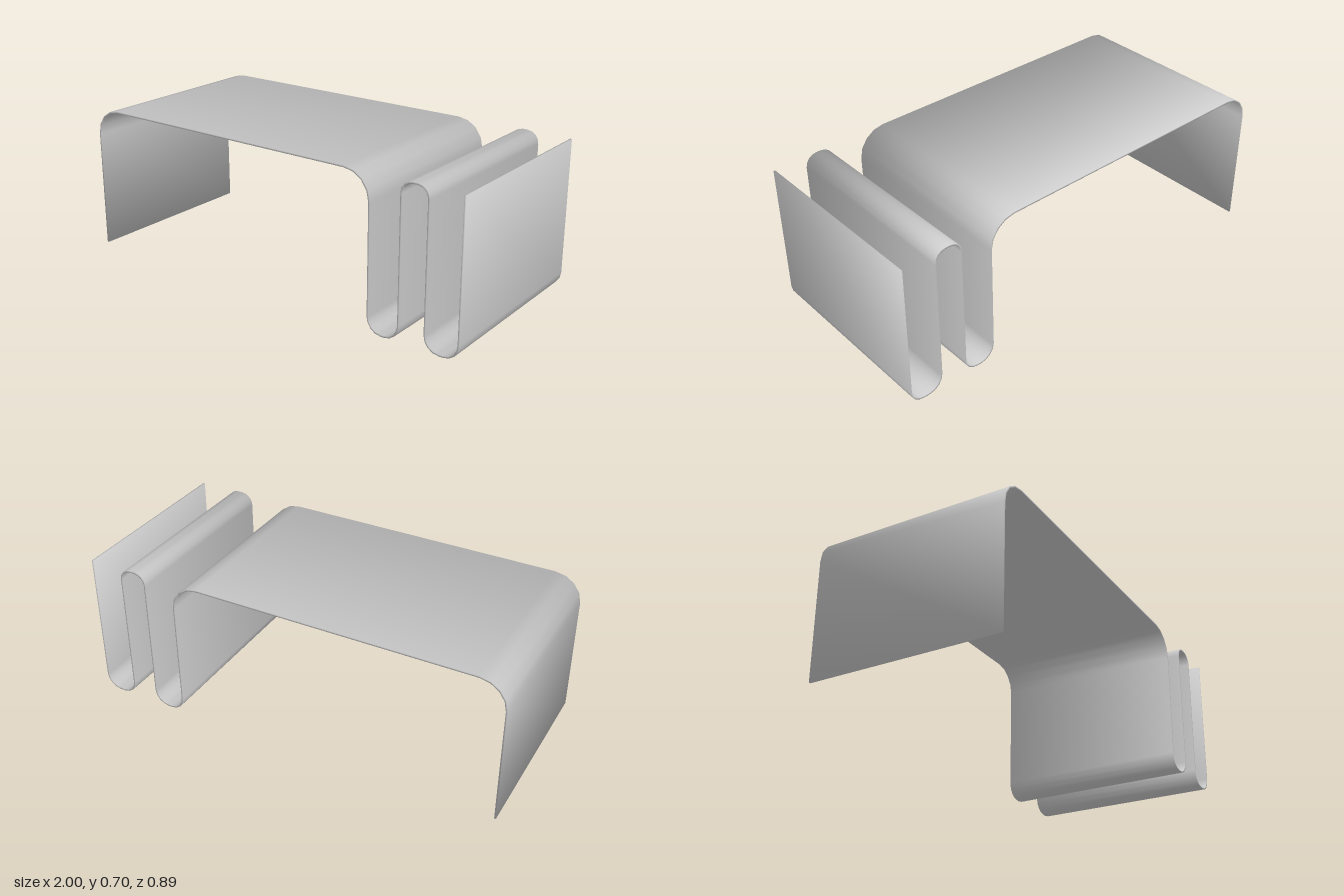
import * as THREE from 'three';

const HALF_DEPTH = 0.447;
const HALF_THICKNESS = 0.004;
const ARC_STEPS = 4;

// Bends of the sheet's centre line: x, y, bend radius (0 marks a free end)
const BENDS = [
  [-0.996, 0.015, 0],
  [-0.996, 0.696, 0.125], [0.564, 0.696, 0.125],
  [0.564, 0.004, 0.067], [0.714, 0.004, 0.067],
  [0.714, 0.696, 0.052], [0.84, 0.696, 0.052],
  [0.84, 0.004, 0.067], [0.996, 0.004, 0.067],
  [0.996, 0.696, 0],
];

// Stations along the centre line, each with a point and a travel direction
function centreLine() {
  const points = BENDS.map(([x, y]) => new THREE.Vector2(x, y));
  const direction = (i) => points[i + 1].clone().sub(points[i]).normalize();
  const last = points.length - 1;
  const stations = [{ p: points[0], t: direction(0) }];
  for (let i = 1; i < last; i++) {
    const r = BENDS[i][2], u = direction(i - 1), v = direction(i);
    const centre = points[i].clone().addScaledVector(u, -r).addScaledVector(v, r);
    for (let s = 0; s <= ARC_STEPS; s++) {
      const a = (s / ARC_STEPS) * Math.PI / 2, c = Math.cos(a), d = Math.sin(a);
      stations.push({
        p: centre.clone().addScaledVector(v, -r * c).addScaledVector(u, r * d),
        t: u.clone().multiplyScalar(c).addScaledVector(v, d),
      });
    }
  }
  stations.push({ p: points[last], t: direction(last - 1) });
  return stations;
}

// Thin rectangular section swept along the line, with normals shared over its edges
function sheetGeometry() {
  const stations = centreLine();
  const corners = [[1, 1], [1, -1], [-1, -1], [-1, 1]]; // side of sheet, front or back
  const positions = [], normals = [], index = [];
  const last = stations.length - 1;
  stations.forEach(({ p, t }, i) => {
    const end = i === 0 ? -1 : i === last ? 1 : 0;
    for (const [side, z] of corners) {
      const nx = -t.y * side, ny = t.x * side;
      positions.push(p.x + nx * HALF_THICKNESS, p.y + ny * HALF_THICKNESS, z * HALF_DEPTH);
      const n = new THREE.Vector3(nx + t.x * end, ny + t.y * end, z).normalize();
      normals.push(n.x, n.y, n.z);
    }
    if (i === last) return;
    for (let k = 0; k < 4; k++) {
      const a = i * 4 + k, b = i * 4 + (k + 1) % 4;
      index.push(a, a + 4, b + 4, a, b + 4, b);
    }
  });
  // Free ends
  const e = last * 4;
  index.push(0, 1, 2, 0, 2, 3, e, e + 2, e + 1, e, e + 3, e + 2);

  const geometry = new THREE.BufferGeometry();
  geometry.setAttribute('position', new THREE.Float32BufferAttribute(positions, 3));
  geometry.setAttribute('normal', new THREE.Float32BufferAttribute(normals, 3));
  geometry.setIndex(index);
  return geometry;
}

export function createModel() {
  const group = new THREE.Group();
  group.name = 'foldedSheetTable';
  const sheet = new THREE.Mesh(
    sheetGeometry(),
    new THREE.MeshStandardMaterial({ color: 0xcccccc }),
  );
  sheet.name = 'bentSheet';
  group.add(sheet);
  return group;
}
